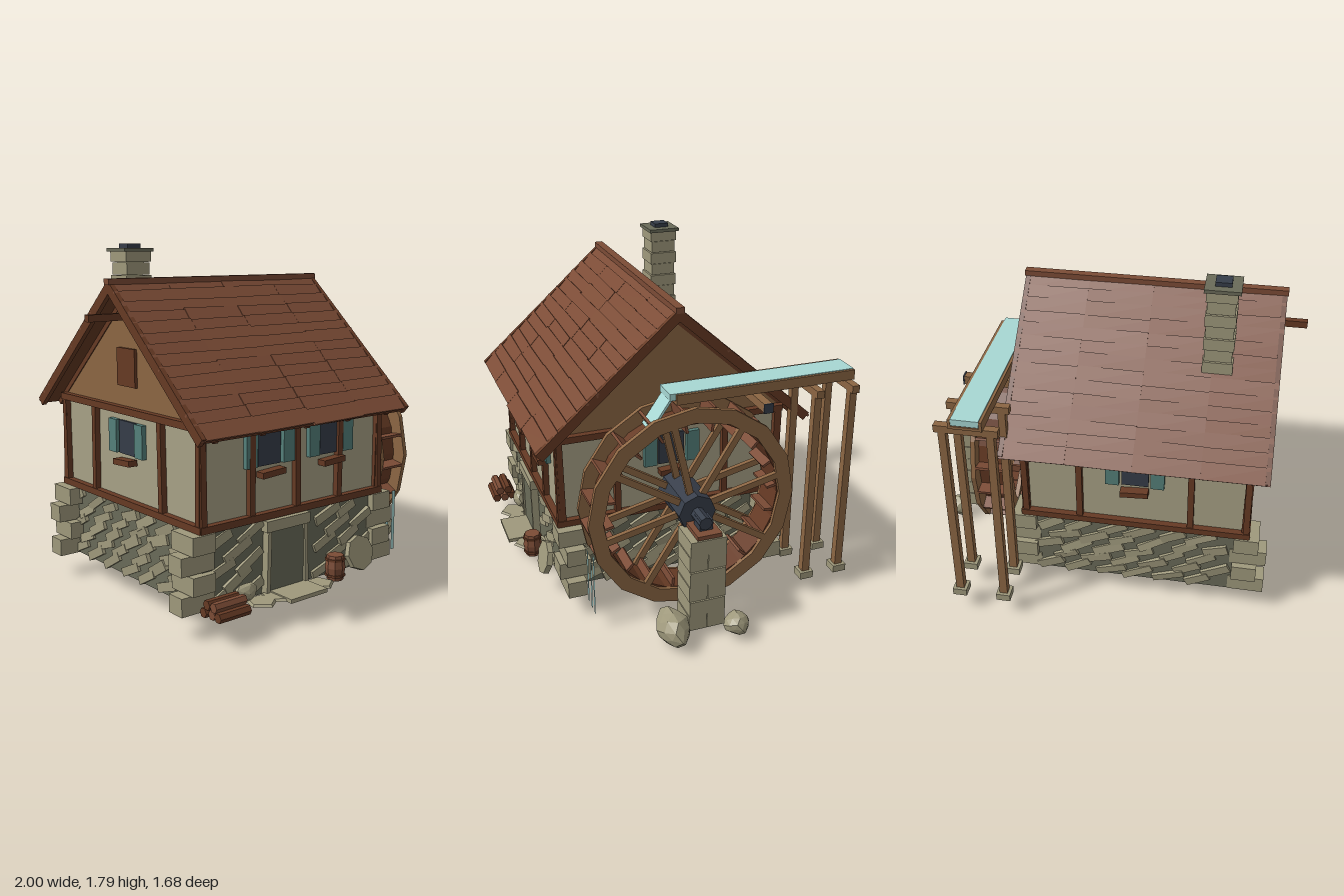
import * as THREE from 'three';

const mat = (name, color) => new THREE.MeshStandardMaterial({ name, color, flatShading: true, side: THREE.DoubleSide });

export function createModel() {
  const root = new THREE.Group();
  root.name = 'watermill';
  const roofRed = mat('roof shingle', 0x7c4c36), timber = mat('dark timber', 0x663a24);
  const wood = mat('tan wood', 0x8c6643), plaster = mat('plaster', 0xa8a286);
  const stone = mat('light stone', 0x9f997c), mortar = mat('dark stone', 0x6a6b59);
  const slate = mat('slate iron', 0x363d49), shutterMat = mat('green shutter', 0x55807a);
  const water = mat('water', 0xa8d8d4);

  let seed = 7;
  const rnd = () => (seed = (seed * 16807) % 2147483647) / 2147483647;
  const jit = (a) => (rnd() - 0.5) * 2 * a;

  const add = (parent, name, geo, material, x = 0, y = 0, z = 0) => {
    const m = new THREE.Mesh(geo, material);
    m.name = name;
    m.position.set(x, y, z);
    parent.add(m);
    return m;
  };
  const box = (parent, name, material, w, h, d, x, y, z) =>
    add(parent, name, new THREE.BoxGeometry(w, h, d), material, x, y, z);
  const group = (parent, name, x = 0, y = 0, z = 0) => {
    const g = new THREE.Group();
    g.name = name;
    g.position.set(x, y, z);
    parent.add(g);
    return g;
  };
  // Irregular boulder: icosahedron pushed in and out by a position rule
  const rock = (name, x, y, z, sx, sy, sz) => {
    const geo = new THREE.IcosahedronGeometry(1, 1), p = geo.attributes.position;
    for (let i = 0; i < p.count; i++) {
      const k = 0.92 + 0.09 * Math.sin(p.getX(i) * 7 + p.getY(i) * 11 + p.getZ(i) * 5 + x * 9);
      p.setXYZ(i, p.getX(i) * k * sx, p.getY(i) * k * sy, p.getZ(i) * k * sz);
    }
    geo.computeVertexNormals();
    return add(root, name, geo, stone, x, y, z);
  };

  // House core
  const CX = -0.21, CZ = 0.05;
  box(root, 'stoneBase', mortar, 1.16, 0.38, 1.21, CX, 0.31, CZ);
  box(root, 'plasterWalls', plaster, 1.14, 0.5, 1.19, CX, 0.74, CZ);

  // Each wall: field stones, timber frame, windows (local z points outward)
  const addWindow = (g, x) => {
    const w = group(g, 'window', x, 0.845, 0);
    box(w, 'pane', slate, 0.14, 0.17, 0.012, 0, 0, 0);
    for (const s of [-1, 1]) box(w, 'shutter', shutterMat, 0.07, 0.17, 0.025, s * 0.117, 0, 0.005);
    const sill = box(w, 'sill', timber, 0.145, 0.03, 0.05, 0, -0.12, 0.02);
    sill.rotation.z = 0.06;
  };
  const walls = [
    ['frontWall', 0, 1.16, 0.605, [-0.58, -0.29, 0, 0.29, 0.58], [-0.175, 0.23]],
    ['leftSideWall', Math.PI / 2, 1.21, 0.58, [-0.6, -0.3, 0.3, 0.6], [0]],
    ['backWall', Math.PI, 1.16, 0.605, [-0.58, -0.29, 0.29, 0.58], [0]],
    ['rightSideWall', -Math.PI / 2, 1.21, 0.58, [-0.6, -0.3, 0.3, 0.6], [0]],
  ];
  for (const [name, ang, len, out, posts, windows] of walls) {
    const g = group(root, name, CX + Math.sin(ang) * out, 0, CZ + Math.cos(ang) * out);
    g.rotation.y = ang;
    for (let r = 0; r < 5; r++) {
      for (let x = -len / 2 + 0.12 + (r % 2) * 0.08; x < len / 2 - 0.1; x += 0.165) {
        if (ang === 0 && Math.abs(x + 0.08) < 0.2) continue;
        const s = box(g, 'fieldStone', stone, 0.13 + rnd() * 0.05, 0.04 + rnd() * 0.015, 0.03, x + jit(0.02), 0.165 + r * 0.071, 0);
        s.rotation.set(jit(0.15), jit(0.05), 0.42 + jit(0.12));
      }
    }
    box(g, 'sillBeam', timber, len + 0.04, 0.035, 0.05, 0, 0.513, 0);
    box(g, 'topBeam', timber, len + 0.04, 0.035, 0.05, 0, 0.985, 0);
    for (const x of posts) box(g, 'wallPost', timber, 0.032, 0.47, 0.04, x, 0.75, 0).rotation.z = jit(0.025);
    for (const x of windows) addWindow(g, x);
  }

  // Corner quoins, alternating long and short
  for (const sx of [-1, 1]) for (const sz of [-1, 1]) for (let r = 0; r < 4; r++) {
    const long = r % 2 === 0, w = long ? 0.19 : 0.13, d = long ? 0.1 : 0.17;
    box(root, 'quoin', stone, w, 0.09, d, CX + sx * ((long ? 0.7 : 0.655) - w / 2), 0.167 + r * 0.095, CZ + sz * ((long ? 0.61 : 0.64) - d / 2));
  }

  // Doorway
  box(root, 'door', mortar, 0.22, 0.32, 0.03, -0.29, 0.28, 0.67);
  box(root, 'lintel', stone, 0.28, 0.055, 0.07, -0.29, 0.465, 0.665);
  for (const s of [-1, 1]) box(root, 'doorJamb', stone, 0.022, 0.32, 0.06, -0.29 + s * 0.122, 0.28, 0.665).rotation.z = s * 0.03;
  box(root, 'doorStep', stone, 0.24, 0.02, 0.16, -0.28, 0.128, 0.76);
  for (const [x, z] of [[-0.5, 0.74], [-0.12, 0.74], [-0.4, 0.73]])
    add(root, 'pavingStone', new THREE.CylinderGeometry(0.07, 0.08, 0.012, 5), stone, x, 0.126, z);

  // Gable ends
  const tri = new THREE.Shape([new THREE.Vector2(-0.62, 0), new THREE.Vector2(0.62, 0), new THREE.Vector2(0, 0.58)]);
  const gableGeo = new THREE.ExtrudeGeometry(tri, { depth: 1.14, bevelEnabled: false });
  gableGeo.rotateY(Math.PI / 2);
  add(root, 'gables', gableGeo, wood, CX - 0.57, 1.0, CZ);
  box(root, 'gableHatch', timber, 0.02, 0.19, 0.16, -0.785, 1.2, CZ);
  box(root, 'hoistBeam', timber, 0.3, 0.035, 0.035, -0.85, 1.45, 0.04);

  // Roof: one slope built along +z, the other turned about the ridge
  const slope = Math.atan2(0.65, 0.73), L = 0.975;
  for (const side of [0, Math.PI]) {
    const turn = group(root, 'roofSlope', CX, 1.605, 0.045);
    turn.rotation.y = side;
    const s = group(turn, 'slopeParts');
    s.rotation.x = slope;
    box(s, 'roofBoards', timber, 1.32, 0.022, L, 0, -0.012, L / 2);
    const rows = 14, step = L / rows;
    for (let r = 0; r < rows; r++) for (let c = 0; c < 4; c++) {
      const m = box(s, 'shingleStrip', roofRed, 0.338, 0.012, step + 0.02, -0.505 + c * 0.3367, 0.008, (r + 0.5) * step + jit(0.006));
      m.rotation.set(0.1, jit(0.015), jit(0.012));
    }
    for (const e of [-1, 1]) box(s, 'bargeBoard', timber, 0.025, 0.05, L + 0.01, e * 0.662, -0.008, L / 2);
    for (let i = 0; i < 5; i++) box(s, 'rafter', timber, 0.03, 0.03, L - 0.02, -0.56 + i * 0.28, -0.035, L / 2);
  }
  box(root, 'ridgeCap', roofRed, 1.36, 0.03, 0.045, CX, 1.62, 0.045);

  // Chimney
  for (let i = 0; i < 9; i++) {
    const k = i % 2 ? 0.138 : 0.152;
    box(root, 'chimneyBlock', stone, k, 0.062, k, -0.573, 1.215 + i * 0.0655, -0.228);
  }
  box(root, 'chimneyCap', mortar, 0.178, 0.018, 0.172, -0.575, 1.77, -0.23);
  box(root, 'chimneyPot', slate, 0.08, 0.022, 0.08, -0.575, 1.789, -0.23);

  // Water wheel, axis along x (shapes drawn in a plane, then turned)
  const wheel = group(root, 'waterWheel', 0.58, 0.645, 0.045);
  const ringGeo = (ro, ri, depth, n) => {
    const pts = (r) => Array.from({ length: n }, (_, i) => new THREE.Vector2(Math.cos((i / n) * 2 * Math.PI) * r, Math.sin((i / n) * 2 * Math.PI) * r));
    const sh = new THREE.Shape(pts(ro));
    sh.holes.push(new THREE.Path(pts(ri)));
    const geo = new THREE.ExtrudeGeometry(sh, { depth, bevelEnabled: false });
    return geo.translate(0, 0, -depth / 2).rotateY(Math.PI / 2);
  };
  for (const s of [-1, 1]) {
    add(wheel, 'wheelRim', ringGeo(0.552, 0.475, 0.025, 16), wood, s * 0.092);
    for (let i = 0; i < 8; i++) {
      const a = group(wheel, 'spokeArm', s * 0.092);
      a.rotation.x = -((13 + i * 45 - 90) * Math.PI) / 180;
      a.rotation.x = ((90 - 13 - i * 45) * Math.PI) / -180;
      box(a, 'spoke', wood, 0.025, 0.44, 0.034, 0, 0.28, 0);
    }
  }
  add(wheel, 'wheelSole', ringGeo(0.478, 0.468, 0.17, 20), timber);
  for (let i = 0; i < 20; i++) {
    const a = group(wheel, 'paddleArm');
    a.rotation.x = ((i + 0.3) * Math.PI) / 10;
    box(a, 'paddle', roofRed, 0.165, 0.13, 0.014, 0, 0.48, 0).rotation.x = 0.12;
  }
  const hub = add(wheel, 'hub', new THREE.CylinderGeometry(0.098, 0.098, 0.3, 8), slate);
  hub.rotation.z = Math.PI / 2;
  const axle = add(wheel, 'axle', new THREE.CylinderGeometry(0.035, 0.035, 0.46, 8), slate, 0.03);
  axle.rotation.z = Math.PI / 2;

  // Wheel pier
  for (let r = 0; r < 6; r++) {
    const y = 0.1 + r * 0.0875;
    if (r % 2) box(root, 'pierBlock', stone, 0.175, 0.084, 0.19, 0.797, y, 0.045);
    else for (const s of [-1, 1]) box(root, 'pierBlock', stone, 0.165, 0.084, 0.096, 0.797, y, 0.045 + s * 0.0495);
  }
  box(root, 'pierCap', roofRed, 0.17, 0.022, 0.13, 0.797, 0.595, 0.04);
  box(root, 'bearing', slate, 0.075, 0.055, 0.07, 0.797, 0.633, 0.04);
  rock('boulder', 0.855, 0.09, 0.22, 0.145, 0.09, 0.095);
  rock('smallBoulder', 0.928, 0.085, -0.1, 0.074, 0.062, 0.075);

  // Flume with its trestles
  box(root, 'flumeFloor', wood, 0.15, 0.015, 0.97, 0.565, 1.218, -0.355);
  for (const s of [-1, 1]) box(root, 'flumeSide', wood, 0.014, 0.052, 0.97, 0.565 + s * 0.077, 1.236, -0.355);
  box(root, 'flumeWater', water, 0.138, 0.035, 1.0, 0.565, 1.248, -0.34);
  const fall = box(root, 'waterFall', water, 0.115, 0.19, 0.012, 0.565, 1.155, 0.2);
  fall.rotation.x = -0.6;
  for (const z of [-0.605, -0.805]) {
    box(root, 'trestleBeam', wood, 0.32, 0.04, 0.04, 0.57, 1.19, z);
    for (const s of [-1, 1]) {
      const x = 0.57 + s * 0.12;
      const p = add(root, 'trestlePost', new THREE.CylinderGeometry(0.027, 0.03, 1.04, 4), wood, x, 0.65, z);
      p.rotation.y = Math.PI / 4;
      box(root, 'postFoot', stone, 0.075, 0.04, 0.075, x, 0.125, z);
    }
  }
  box(root, 'flumeBracket', wood, 0.36, 0.045, 0.045, 0.545, 1.16, -0.32);
  box(root, 'bracketCap', slate, 0.008, 0.05, 0.05, 0.728, 1.16, -0.32);

  // Water trickling from the wheel
  for (const [x, h] of [[0.515, 0.31], [0.575, 0.27], [0.625, 0.34]])
    add(root, 'trickle', new THREE.PlaneGeometry(0.024, h), water, x, 0.1 + h / 2, 0.56);

  // Yard: barrel, log stack, millstone, loose stones
  const barrel = group(root, 'barrel', -0.005, 0.12, 0.735);
  const prof = [[0, 0], [0.042, 0], [0.052, 0.065], [0.043, 0.13], [0, 0.13]].map((p) => new THREE.Vector2(...p));
  add(barrel, 'barrelBody', new THREE.LatheGeometry(prof, 8), roofRed);
  for (const y of [0.025, 0.108]) add(barrel, 'barrelHoop', new THREE.CylinderGeometry(0.052, 0.052, 0.012, 8), timber, 0, y, 0);
  for (let r = 0; r < 2; r++) for (let i = 0; i < 3 - r; i++) {
    const log = add(root, 'log', new THREE.CylinderGeometry(0.025, 0.025, 0.18, 6), i % 2 ? roofRed : timber, -0.735 + jit(0.008), 0.145 + r * 0.043, 0.715 + i * 0.048 + r * 0.024);
    log.rotation.z = Math.PI / 2;
  }
  const mill = add(root, 'millstone', new THREE.CylinderGeometry(0.092, 0.092, 0.03, 8), stone, 0.195, 0.21, 0.71);
  mill.rotation.x = Math.PI / 2 - 0.25;
  rock('looseStone', -0.56, 0.17, 0.69, 0.07, 0.05, 0.04);
  return root;
}
